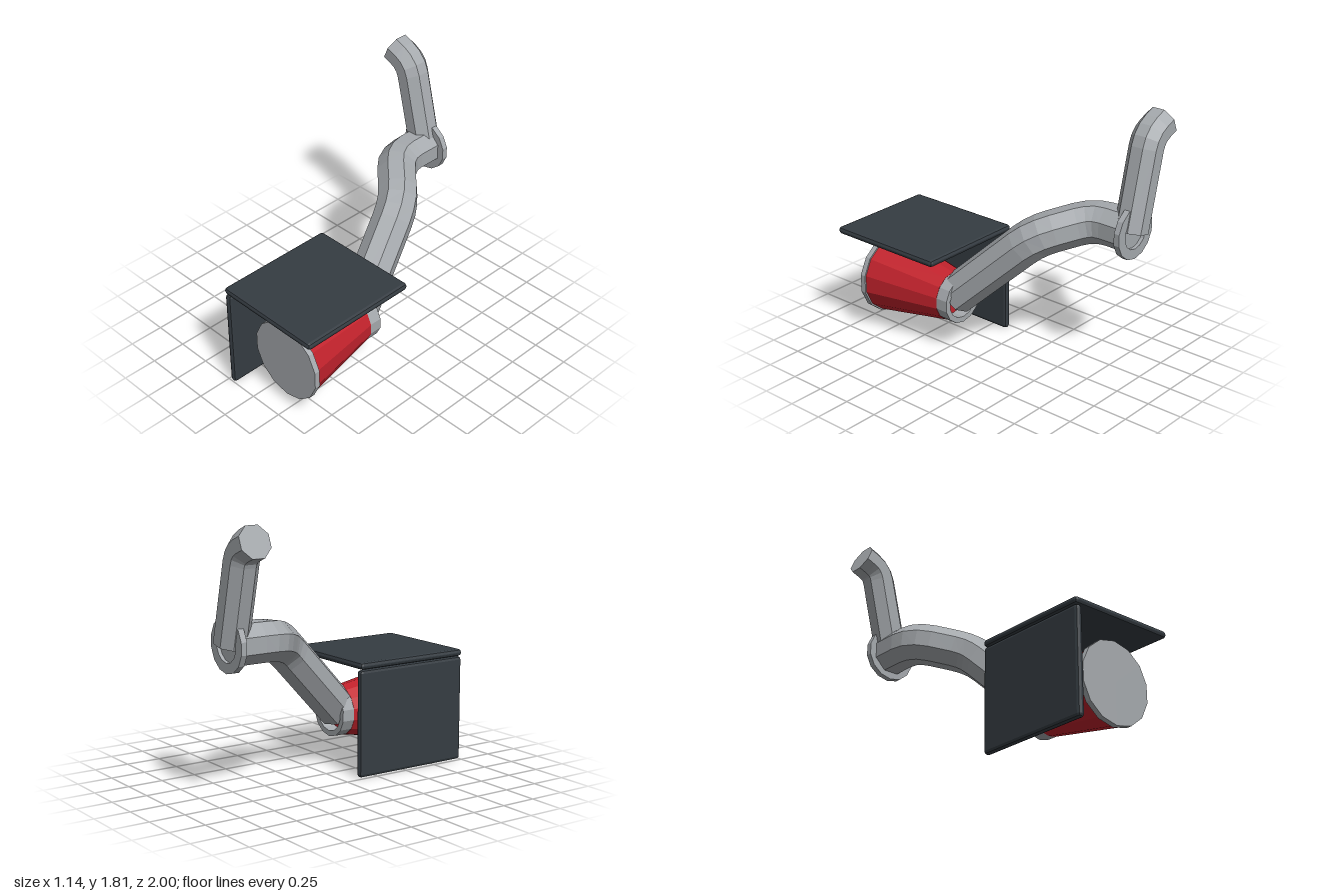
import * as THREE from 'three';
import { RoundedBoxGeometry } from 'three/addons/geometries/RoundedBoxGeometry.js';

const V = (x, y, z) => new THREE.Vector3(x, y, z);

// Faceted normals for every surface
function flat(geometry) {
  const g = geometry.index ? geometry.toNonIndexed() : geometry;
  g.computeVertexNormals();
  return g;
}

// Turned part along z, from [radius, z] points
function turned(profile, sides, x, y) {
  const g = new THREE.LatheGeometry(profile.map(([r, z]) => new THREE.Vector2(r, z)), sides);
  return flat(g.rotateX(Math.PI / 2).translate(x, y, 0));
}

// Path through corners, each rounded over the given trim length
function roundedPath(corners, trim, steps) {
  const path = [corners[0]];
  for (let i = 1; i < corners.length - 1; i++) {
    const c = corners[i];
    const toward = (p) => c.clone().add(p.clone().sub(c).setLength(trim));
    const bend = new THREE.QuadraticBezierCurve3(toward(corners[i - 1]), c, toward(corners[i + 1]));
    path.push(...bend.getPoints(steps));
  }
  path.push(corners[corners.length - 1]);
  return path;
}

// Octagonal bar swept along a path, capped at both ends; a flat faces the "up" direction
function octagonBar(path, apothem, up) {
  const sides = 8, radius = apothem / Math.cos(Math.PI / sides);
  const positions = [], index = [];
  const n = up.clone();
  path.forEach((p, i) => {
    const t = V(0, 0, 0);
    if (i > 0) t.add(p.clone().sub(path[i - 1]).normalize());
    if (i < path.length - 1) t.add(path[i + 1].clone().sub(p).normalize());
    t.normalize();
    n.addScaledVector(t, -n.dot(t)).normalize();
    const b = t.clone().cross(n);
    for (let k = 0; k < sides; k++) {
      const a = ((k + 0.5) / sides) * Math.PI * 2;
      const q = p.clone().addScaledVector(n, radius * Math.cos(a)).addScaledVector(b, radius * Math.sin(a));
      positions.push(q.x, q.y, q.z);
    }
  });
  const last = (path.length - 1) * sides;
  for (let i = 0; i < path.length - 1; i++) {
    for (let k = 0; k < sides; k++) {
      const a = i * sides + k, b = i * sides + ((k + 1) % sides);
      index.push(a, b, b + sides, a, b + sides, a + sides);
    }
  }
  for (let k = 1; k < sides - 1; k++) {
    index.push(0, k + 1, k, last, last + k, last + k + 1);
  }
  const g = new THREE.BufferGeometry();
  g.setAttribute('position', new THREE.Float32BufferAttribute(positions, 3));
  g.setIndex(index);
  return flat(g);
}

export function createModel() {
  const model = new THREE.Group();
  const steel = new THREE.MeshStandardMaterial({ color: 0xa5a9ad });
  const red = new THREE.MeshStandardMaterial({ color: 0xc2222c });
  const charcoal = new THREE.MeshStandardMaterial({ color: 0x353c42 });
  steel.name = 'steel grey';
  red.name = 'red';
  charcoal.name = 'charcoal';

  const add = (name, geometry, material) => {
    const mesh = new THREE.Mesh(geometry, material);
    mesh.name = name;
    model.add(mesh);
  };
  // Chamfered plate given by its size and centre
  const plate = (name, w, h, d, x, y, z) =>
    add(name, flat(new RoundedBoxGeometry(w, h, d, 1, 0.022).translate(x, y, z)), charcoal);
  const ring = (inner, outer, z0, z1) =>
    [[inner, z0], [outer, z0], [outer, z1], [inner, z1], [inner, z0]];

  // Two shield plates
  plate('topPlate', 0.81, 0.05, 0.88, 0.165, 0.773, 0.56);
  plate('sidePlate', 0.05, 0.745, 0.88, -0.21, 0.373, 0.56);

  // Tapered drum with a front lid and a rear collar
  const cx = 0.205, cy = 0.373;
  add('drum', turned([[0, 0.262], [0.176, 0.262], [0.278, 0.842]], 14, cx, cy), red);
  add('frontLid', turned([[0, 0.84], [0.288, 0.84], [0.288, 0.88], [0, 0.88]], 14, cx, cy), steel);
  add('rearCollar', turned(ring(0.135, 0.174, 0.17, 0.268), 14, cx, cy), steel);

  // Lower arm, from the joint down to the drum
  const lower = [V(-0.24, 1.038, -0.905), V(-0.24, 1.038, -0.6), V(0.045, 0.94, -0.335), V(0.203, 0.39, 0.235)];
  add('lowerArm', octagonBar(roundedPath(lower, 0.12, 3), 0.132, V(0, 1, 0)), steel);

  // Joint flange
  add('jointFlange', turned(ring(0.115, 0.185, -0.93, -0.888), 14, -0.24, 1.038), steel);

  // Upper arm with a bent tip
  const upper = [V(-0.24, 1.04, -0.893), V(-0.39, 1.65, -0.893), V(-0.532, 1.708, -0.893)];
  add('upperArm', octagonBar(roundedPath(upper, 0.08, 3), 0.106, V(0, 0, 1)), steel);

  return model;
}
